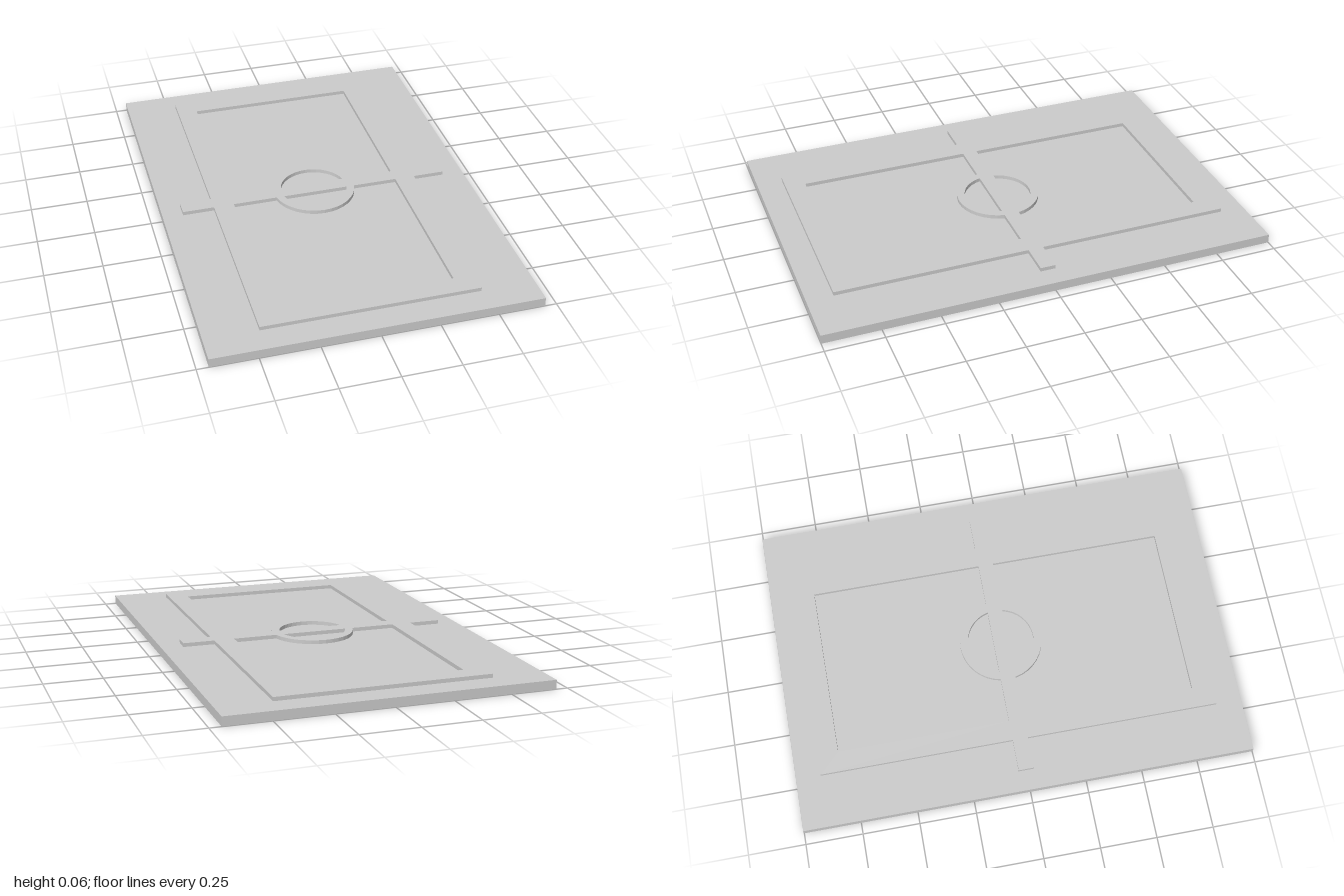
import * as THREE from 'three';

const BASE_H = 0.04, RELIEF_H = 0.017;
const BAR_X = 0.6075, BAR_Z = 0.0335;      // half length and half width of the crossbar
const OUT_X = 0.4675, OUT_Z = 0.8875;      // frame, outer half sizes
const IN_X = 0.3775, IN_Z = 0.7975;        // frame, inner half sizes
const RING_OUT = 0.184, RING_IN = 0.149;

// Points of the arc that lies beyond the crossbar, from +x to -x
function arcAboveBar(radius, steps = 16) {
  const a = Math.asin(BAR_Z / radius);
  return Array.from({ length: steps + 1 }, (_, i) => {
    const t = a + (Math.PI - 2 * a) * i / steps;
    return new THREE.Vector2(radius * Math.cos(t), radius * Math.sin(t));
  });
}

const points = (list) => list.map(([x, y]) => new THREE.Vector2(x, y));

export function createModel() {
  const group = new THREE.Group();
  group.name = 'panel';
  const material = new THREE.MeshStandardMaterial({ color: 0xcccccc });

  // Base slab
  const slab = new THREE.Mesh(new THREE.BoxGeometry(1.4, BASE_H, 2), material);
  slab.name = 'baseSlab';
  slab.position.y = BASE_H / 2;
  group.add(slab);

  // Raised relief: frame, crossbar and ring joined in one outline
  const outline = new THREE.Shape(points([
    [OUT_X, -OUT_Z], [OUT_X, -BAR_Z], [BAR_X, -BAR_Z], [BAR_X, BAR_Z], [OUT_X, BAR_Z], [OUT_X, OUT_Z],
    [-OUT_X, OUT_Z], [-OUT_X, BAR_Z], [-BAR_X, BAR_Z], [-BAR_X, -BAR_Z], [-OUT_X, -BAR_Z], [-OUT_X, -OUT_Z],
  ]));

  // Openings on each side of the crossbar: the large field and the half moon in the ring
  const field = [
    ...points([[-IN_X, BAR_Z], [-IN_X, IN_Z], [IN_X, IN_Z], [IN_X, BAR_Z]]),
    ...arcAboveBar(RING_OUT),
  ];
  const halfMoon = arcAboveBar(RING_IN);
  for (const side of [1, -1]) {
    for (const opening of [field, halfMoon]) {
      outline.holes.push(new THREE.Path(opening.map((p) => new THREE.Vector2(p.x, p.y * side))));
    }
  }

  const geometry = new THREE.ExtrudeGeometry(outline, { depth: RELIEF_H, bevelEnabled: false });
  geometry.rotateX(-Math.PI / 2);
  const relief = new THREE.Mesh(geometry, material);
  relief.name = 'raisedFrame';
  relief.position.set(-0.0025, BASE_H, -0.0025);
  group.add(relief);

  return group;
}
